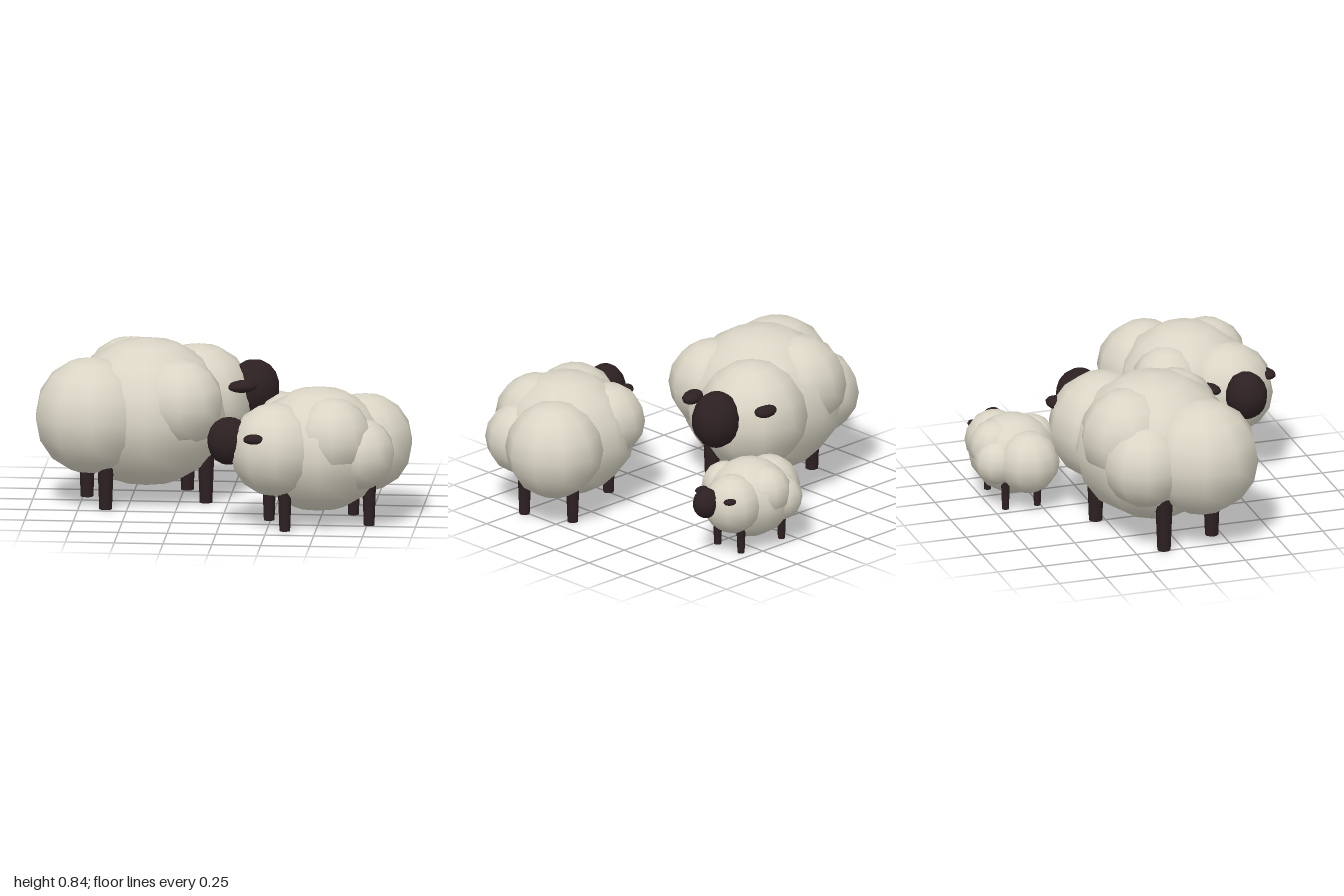
import * as THREE from 'three';

const wool = new THREE.MeshStandardMaterial({ color: 0xdad5c5 });
wool.name = 'creamWool';
const dark = new THREE.MeshStandardMaterial({ color: 0x2d2022 });
dark.name = 'darkBrownSkin';

const lumpGeo = new THREE.SphereGeometry(1, 10, 8);
const headGeo = new THREE.SphereGeometry(1, 12, 9);
const legGeo = new THREE.CylinderGeometry(0.046, 0.034, 0.3, 8);

// Ellipsoid part placed at pos with radii size
function blob(name, geo, mat, pos, size) {
  const m = new THREE.Mesh(geo, mat);
  m.name = name;
  m.position.set(...pos);
  m.scale.set(...size);
  return m;
}

// One sheep facing its local +x, feet on y = 0
function sheep(name, x, z, angle, scale) {
  const g = new THREE.Group();
  g.name = name;

  // Fleece: main body and overlapping tufts
  g.add(blob('body', lumpGeo, wool, [0, 0.46, 0], [0.42, 0.38, 0.42]));
  const tufts = [
    ['rump', -0.31, 0.47, 0.055, 0.3],
    ['shoulders', 0.3, 0.49, -0.08, 0.285],
    ['leftTuft', 0.103, 0.54, 0.225, 0.23],
    ['rightRearTuft', -0.19, 0.46, -0.218, 0.22],
    ['rightTuft', -0.025, 0.56, -0.19, 0.25],
  ];
  for (const [n, u, y, v, r] of tufts) g.add(blob(n, lumpGeo, wool, [u, y, v], [r, r, r]));

  // Head and ears
  g.add(blob('head', headGeo, dark, [0.572, 0.545, 0], [0.135, 0.147, 0.125]));
  g.add(blob('leftEar', headGeo, dark, [0.455, 0.597, 0.184], [0.078, 0.032, 0.048]));
  g.add(blob('rightEar', headGeo, dark, [0.475, 0.597, -0.232], [0.078, 0.032, 0.055]));

  // Legs
  for (const u of [0.266, -0.27]) {
    for (const v of [0.16, -0.16]) {
      const leg = new THREE.Mesh(legGeo, dark);
      leg.name = (u > 0 ? 'front' : 'rear') + (v > 0 ? 'Left' : 'Right') + 'Leg';
      leg.position.set(u, 0.15, v);
      g.add(leg);
    }
  }

  g.position.set(x, 0, z);
  g.rotation.y = THREE.MathUtils.degToRad(angle);
  g.scale.setScalar(scale);
  return g;
}

export function createModel() {
  const flock = new THREE.Group();
  flock.name = 'flock';
  flock.add(sheep('largeSheep', -0.42, -0.05, 22, 1));
  flock.add(sheep('mediumSheep', 0.5, 0.43, 202, 0.84));
  flock.add(sheep('lamb', 0.2, -0.6, 0, 0.535));
  return flock;
}
